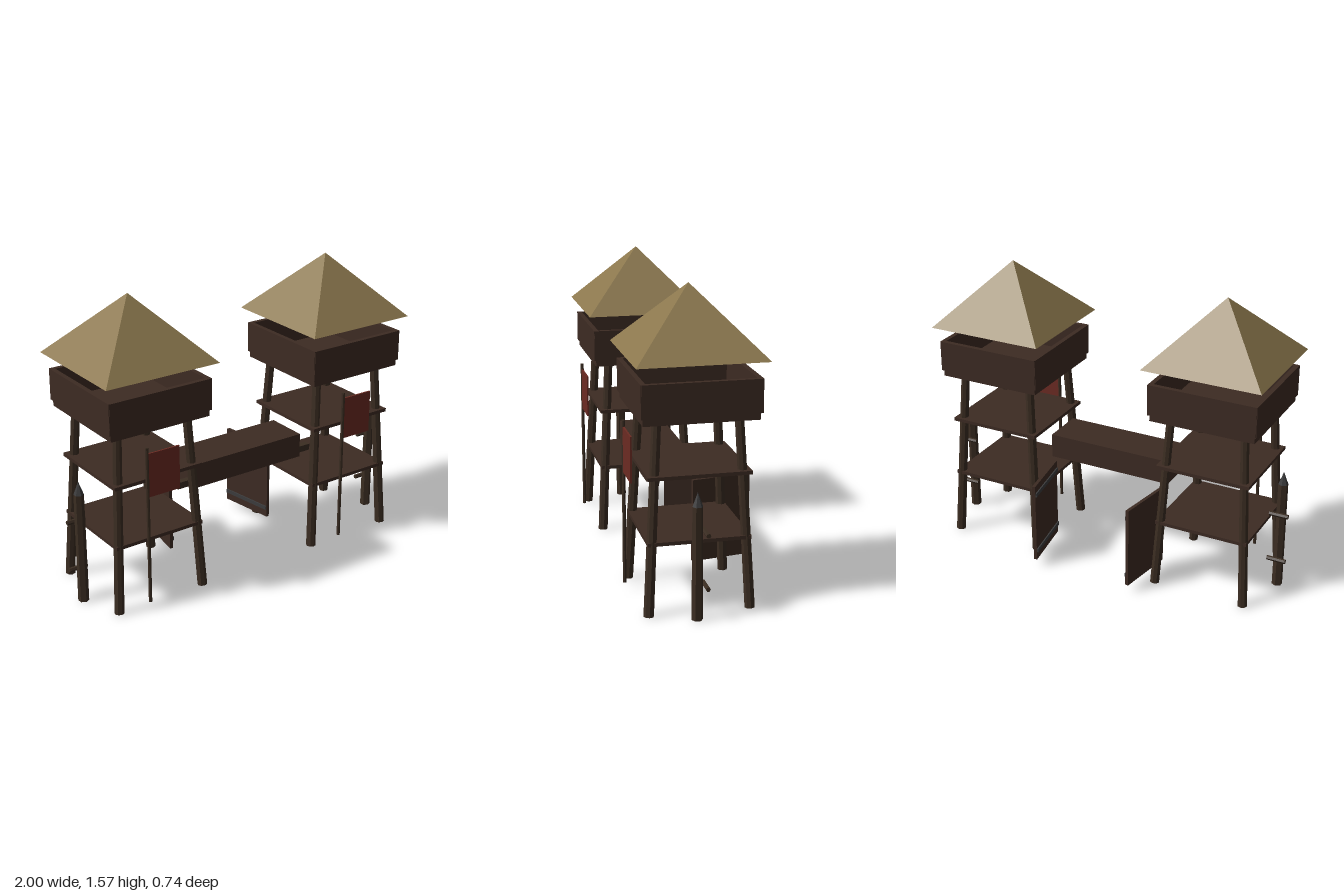
import * as THREE from 'three';

const mat = (name, color) => {
  const m = new THREE.MeshStandardMaterial({ color });
  m.name = name;
  m.flatShading = true;
  return m;
};

export function createModel() {
  const planks = mat('dark planks', 0x3d2b23);
  const logs = mat('log wood', 0x3b2d22);
  const thatch = mat('thatch', 0x8b774d);
  const cloth = mat('red cloth', 0x6c2b23);
  const iron = mat('iron', 0x3c3c3d);

  const root = new THREE.Group();
  root.name = 'gatehouse';

  const add = (parent, name, geo, material, x, y, z) => {
    const m = new THREE.Mesh(geo, material);
    m.name = name;
    m.position.set(x, y, z);
    parent.add(m);
    return m;
  };
  const box = (parent, name, material, w, h, d, x, y, z) =>
    add(parent, name, new THREE.BoxGeometry(w, h, d), material, x, y, z);

  // Round timber between two points
  const log = (parent, name, a, b, rBottom, rTop, sides = 8) => {
    const from = new THREE.Vector3(...a), to = new THREE.Vector3(...b);
    const dir = to.clone().sub(from);
    const mid = from.clone().add(to).multiplyScalar(0.5);
    const m = add(parent, name, new THREE.CylinderGeometry(rTop, rBottom, dir.length(), sides),
      logs, mid.x, mid.y, mid.z);
    m.quaternion.setFromUnitVectors(new THREE.Vector3(0, 1, 0), dir.normalize());
  };

  // Watchtower, built around its own axis
  const tower = (name, x) => {
    const g = new THREE.Group();
    g.name = name;
    g.position.set(x, 0, 0.05);
    root.add(g);

    for (const sx of [-1, 1]) for (const sz of [-1, 1]) {
      log(g, 'leg', [sx * 0.252, 0.002, sz * 0.252], [sx * 0.2, 0.97, sz * 0.2], 0.026, 0.023);
    }
    for (const y of [0.365, 0.69]) box(g, 'landing', planks, 0.51, 0.018, 0.51, 0, y, 0);

    // Lookout platform with four parapet walls
    box(g, 'platformFloor', planks, 0.565, 0.035, 0.565, 0, 0.974, 0);
    for (const s of [-1, 1]) {
      box(g, 'parapetWall', planks, 0.58, 0.165, 0.025, 0, 1.073, s * 0.28);
      box(g, 'parapetWall', planks, 0.025, 0.165, 0.58, s * 0.28, 1.073, 0);
    }

    // Square pyramid roof
    const roof = new THREE.ConeGeometry(0.32 * Math.SQRT2, 0.33, 4);
    roof.rotateY(Math.PI / 4);
    add(g, 'roof', roof, thatch, 0, 1.404, 0);

    // Banner on a pole in front
    log(g, 'bannerPole', [-0.097, 0.04, 0.3], [-0.097, 0.888, 0.3], 0.009, 0.009);
    box(g, 'banner', cloth, 0.18, 0.232, 0.009, -0.002, 0.74, 0.3);
  };
  tower('leftTower', 0.615);
  tower('rightTower', -0.615);

  // Covered bridge with its bearing beam
  box(root, 'bridge', planks, 0.7, 0.132, 0.235, 0, 0.572, 0.0825);
  box(root, 'bridgeBeam', logs, 0.86, 0.035, 0.035, 0, 0.537, 0.167);

  for (const s of [-1, 1]) {
    // Open gate leaf with iron straps on its inner face
    const gate = new THREE.Group();
    gate.name = s > 0 ? 'leftGate' : 'rightGate';
    gate.position.set(s * 0.302, 0.267, -0.205);
    gate.rotation.y = s * 0.155;
    root.add(gate);
    box(gate, 'gateLeaf', planks, 0.018, 0.446, 0.322, 0, 0, 0);
    for (const y of [-0.168, 0.172]) {
      box(gate, 'gateStrap', iron, 0.008, 0.022, 0.315, -s * 0.012, y, 0);
    }

    // Sharpened stake with two cross rails
    const h = s > 0 ? 0.57 : 0.6;
    const x = s * 0.948;
    log(root, 'stake', [x, 0, 0.083], [x, h, 0.083], 0.028, 0.026, 6);
    add(root, 'stakeTip', new THREE.ConeGeometry(0.026, 0.07, 6), iron, x, h + 0.035, 0.083);
    for (const y of [0.17, 0.438]) {
      log(root, 'stakeRail', [s * 0.898, y, 0.042], [s, y, 0.042], 0.012, 0.012, 6);
    }
  }
  return root;
}
